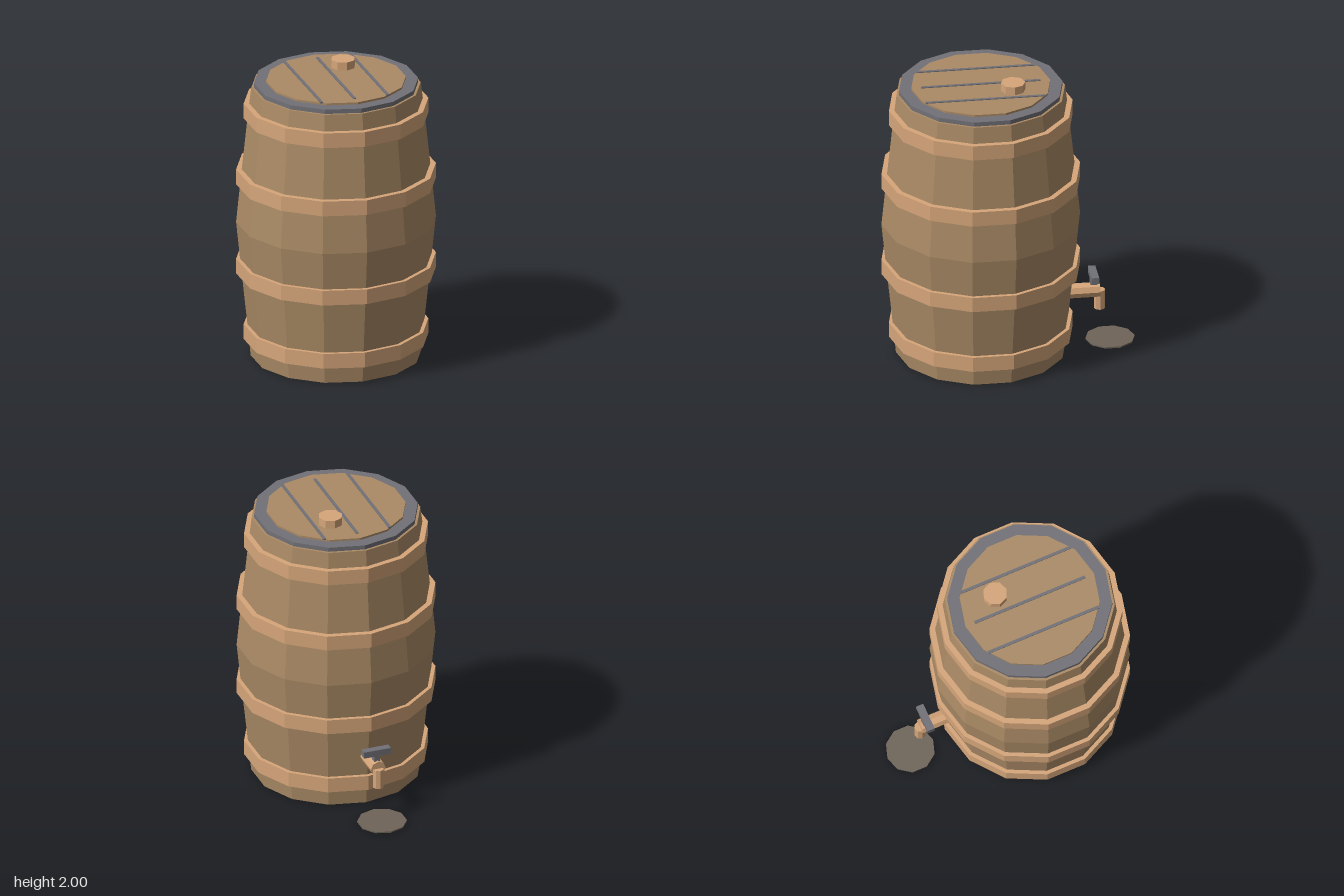
import * as THREE from 'three';

const mat = (name, color) => {
  const m = new THREE.MeshStandardMaterial({ color, flatShading: true });
  m.name = name;
  return m;
};

export function createModel() {
  const wood = mat('stave wood', 0xab8b66);
  const paleWood = mat('pale wood', 0xd6a67a);
  const iron = mat('grey iron', 0x717177);
  const trayColor = mat('drip tray grey', 0x6e6459);

  const model = new THREE.Group();
  model.name = 'barrel';
  const SIDES = 14;
  const AXIS_Z = 0.18;

  const add = (parent, name, geometry, material, x = 0, y = 0, z = 0) => {
    const mesh = new THREE.Mesh(geometry, material);
    mesh.name = name;
    mesh.position.set(x, y, z);
    parent.add(mesh);
    return mesh;
  };
  const disc = (r, h, sides) => new THREE.CylinderGeometry(r, r, h, sides);

  // Cask, bulging at the middle and closed at both ends
  const cask = new THREE.Group();
  cask.name = 'cask';
  cask.position.z = AXIS_Z;
  model.add(cask);
  const profile = [
    [0, 0], [0.568, 0], [0.584, 0.17], [0.633, 0.635], [0.665, 0.95],
    [0.633, 1.27], [0.584, 1.735], [0.564, 1.9], [0, 1.9],
  ].map(([r, y]) => new THREE.Vector2(r, y));
  add(cask, 'staves', new THREE.LatheGeometry(profile, SIDES), wood);

  // Four hoops
  for (const [r, y] of [[0.615, 0.17], [0.665, 0.637], [0.665, 1.27], [0.615, 1.735]]) {
    add(cask, 'hoop', disc(r, 0.104, SIDES), paleWood, 0, y);
  }

  // Lid with iron rim, seams between the boards and a bung
  add(cask, 'lidRim', disc(0.547, 0.03, SIDES), iron, 0, 1.915);
  add(cask, 'lid', disc(0.465, 0.015, SIDES), wood, 0, 1.9365);
  for (const x of [-0.23, 0, 0.23]) {
    add(cask, 'lidSeam', new THREE.BoxGeometry(0.02, 0.009, 0.8), iron, x, 1.9455);
  }
  add(model, 'bung', disc(0.082, 0.06, 8), paleWood, 0.115, 1.97, -0.02);

  // Tap at the back
  const tap = new THREE.Group();
  tap.name = 'tap';
  model.add(tap);
  const pipe = add(tap, 'tapPipe', disc(0.052, 0.235, 8), paleWood, 0, 0.37, -0.4975);
  pipe.rotation.x = Math.PI / 2;
  add(tap, 'tapSpout', disc(0.038, 0.135, 8), paleWood, 0, 0.3025, -0.615);
  add(tap, 'tapStem', new THREE.BoxGeometry(0.04, 0.05, 0.046), iron, 0, 0.435, -0.575);
  add(tap, 'tapHandle', new THREE.BoxGeometry(0.19, 0.045, 0.05), iron, 0, 0.4785, -0.575);

  // Drip tray on the ground below the spout
  add(model, 'dripTray', disc(0.165, 0.01, 10), trayColor, 0, 0.01, -0.685);

  return model;
}
